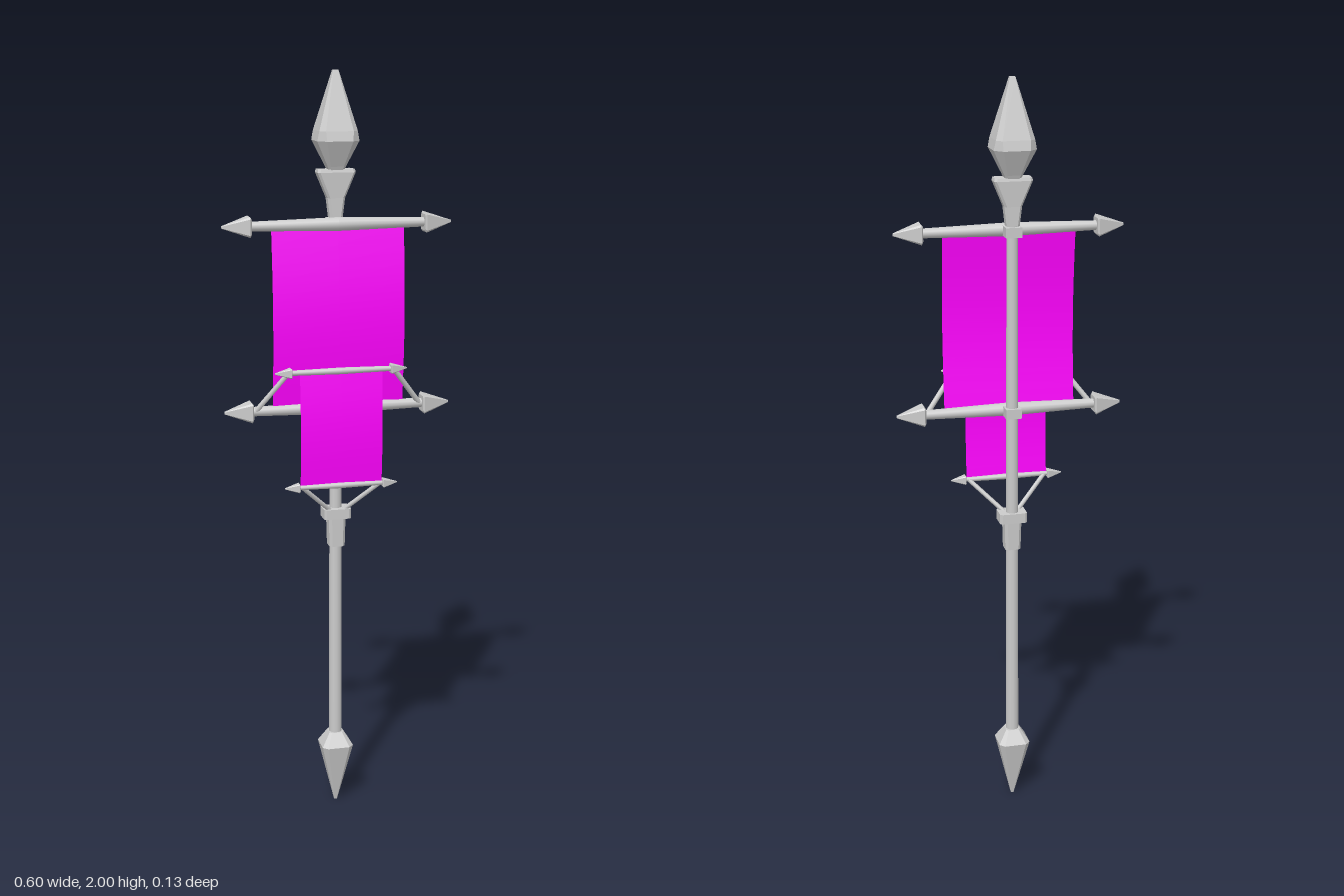
import * as THREE from 'three';

const grey = new THREE.MeshStandardMaterial({ color: 0xcccccc, flatShading: true });
const smooth = new THREE.MeshStandardMaterial({ color: 0xcccccc });
const cloth = new THREE.MeshStandardMaterial({ color: 0xff00ff, side: THREE.DoubleSide });
const POLE_Z = -0.013, BAR_Z = 0.014, FRONT_Z = 0.053;

function add(parent, name, geometry, material, x = 0, y = 0, z = 0) {
  const mesh = new THREE.Mesh(geometry, material);
  mesh.name = name;
  mesh.position.set(x, y, z);
  parent.add(mesh);
  return mesh;
}

// Skin over chamfered-rectangle rings, bottom to top: [y, halfX, halfZ, chamfer]
function loft(rings) {
  const pos = [], idx = [], n = 8;
  for (const [y, a, b, c] of rings) {
    const ring = [[a, b - c], [a - c, b], [c - a, b], [-a, b - c], [-a, c - b], [c - a, -b], [a - c, -b], [a, c - b]];
    for (const [x, z] of ring) pos.push(x, y, z);
  }
  for (let r = 0; r < rings.length - 1; r++) {
    for (let i = 0; i < n; i++) {
      const a = r * n + i, b = r * n + (i + 1) % n;
      idx.push(a, a + n, b, b, a + n, b + n);
    }
  }
  const top = (rings.length - 1) * n;
  for (let i = 1; i < n - 1; i++) {
    idx.push(0, i, i + 1);
    idx.push(top, top + i + 1, top + i);
  }
  const g = new THREE.BufferGeometry();
  g.setAttribute('position', new THREE.Float32BufferAttribute(pos, 3));
  g.setIndex(idx);
  const flat = g.toNonIndexed();
  flat.computeVertexNormals();
  return flat;
}

// Round rod between two points
function rod(parent, name, from, to, radius) {
  const a = new THREE.Vector3(...from), b = new THREE.Vector3(...to);
  const mesh = add(parent, name, new THREE.CylinderGeometry(radius, radius, a.distanceTo(b), 8), smooth);
  mesh.position.copy(a).add(b).multiplyScalar(0.5);
  mesh.quaternion.setFromUnitVectors(new THREE.Vector3(0, 1, 0), b.sub(a).normalize());
}

// Crossbar, thicker in the middle, with an arrowhead at each end
function crossbar(parent, name, y, z, tip, headLength, headHalf, midR, endR) {
  const group = new THREE.Group();
  group.name = name;
  group.position.set(0, y, z);
  parent.add(group);
  const neck = tip - headLength;
  for (const s of [-1, 1]) {
    const half = add(group, 'barHalf', new THREE.CylinderGeometry(endR, midR, neck, 12, 1, true), smooth, s * neck / 2);
    half.rotation.z = -s * Math.PI / 2;
    const head = add(group, 'arrowhead', loft([
      [-headLength * 0.06, headHalf * 0.8, headHalf * 0.8, headHalf * 0.15],
      [0, headHalf, headHalf, headHalf * 0.2],
      [headLength, headHalf * 0.12, headHalf * 0.12, headHalf * 0.03],
    ]), grey, s * neck);
    head.rotation.z = -s * Math.PI / 2;
  }
}

// Hanging cloth that bows forward between its upper and lower edges
function banner(parent, name, width, y0, y1, z, bow) {
  const g = new THREE.PlaneGeometry(width, y1 - y0, 2, 10);
  const p = g.attributes.position;
  for (let i = 0; i < p.count; i++) {
    const t = p.getY(i) / (y1 - y0) + 0.5;
    p.setZ(i, bow * Math.sin(Math.PI * t));
  }
  g.computeVertexNormals();
  add(parent, name, g, cloth, 0, (y0 + y1) / 2, z);
}

export function createModel() {
  const model = new THREE.Group();
  model.name = 'bannerStaff';

  // Shaft, foot spike and grip
  add(model, 'shaft', new THREE.CylinderGeometry(0.015, 0.018, 1.5, 12), smooth, 0, 0.94, POLE_Z);
  add(model, 'footSpike', loft([
    [0, 0.004, 0.004, 0.001], [0.17, 0.043, 0.043, 0.013], [0.207, 0.02, 0.02, 0.006],
  ]), grey, 0, 0, POLE_Z);
  add(model, 'grip', loft([
    [0.75, 0.021, 0.022, 0.007], [0.835, 0.023, 0.024, 0.007],
  ]), grey, 0, 0, -0.008);
  add(model, 'gripCollar', loft([
    [0.828, 0.037, 0.028, 0.006], [0.855, 0.037, 0.028, 0.006],
  ]), grey, 0, 0, -0.008);

  // Flared socket and spearhead
  add(model, 'socket', loft([
    [1.63, 0.017, 0.017, 0.006], [1.68, 0.023, 0.018, 0.006],
    [1.745, 0.05, 0.022, 0.006], [1.753, 0.048, 0.02, 0.006],
  ]), grey, 0, 0, POLE_Z);
  add(model, 'spearhead', loft([
    [1.74, 0.016, 0.016, 0.005], [1.76, 0.024, 0.024, 0.007],
    [1.825, 0.055, 0.055, 0.021], [1.85, 0.05, 0.05, 0.014], [2, 0.007, 0.007, 0.001],
  ]), grey, 0, 0, POLE_Z);

  // Large crossbars with clips round the shaft
  for (const y of [1.615, 1.135]) {
    crossbar(model, 'mainCrossbar', y, BAR_Z, 0.302, 0.07, 0.026, 0.018, 0.0125);
    add(model, 'shaftClip', new THREE.BoxGeometry(0.042, 0.026, 0.044), grey, 0, y, -0.014);
  }

  // Small crossbars standing forward of the shaft
  crossbar(model, 'upperSmallCrossbar', 1.24, FRONT_Z, 0.176, 0.042, 0.013, 0.009, 0.007);
  crossbar(model, 'lowerSmallCrossbar', 0.932, FRONT_Z, 0.152, 0.038, 0.012, 0.008, 0.006);

  // Braces holding the small crossbars
  for (const s of [-1, 1]) {
    rod(model, 'upperBrace', [s * 0.222, 1.135, BAR_Z + 0.005], [s * 0.14, 1.24, FRONT_Z], 0.007);
    rod(model, 'lowerBrace', [s * 0.018, 0.85, 0.004], [s * 0.105, 0.932, FRONT_Z], 0.006);
  }

  // Cloth
  banner(model, 'largeBanner', 0.35, 1.135, 1.61, BAR_Z + 0.003, 0.016);
  banner(model, 'smallBanner', 0.22, 0.93, 1.24, FRONT_Z, 0.008);

  return model;
}
